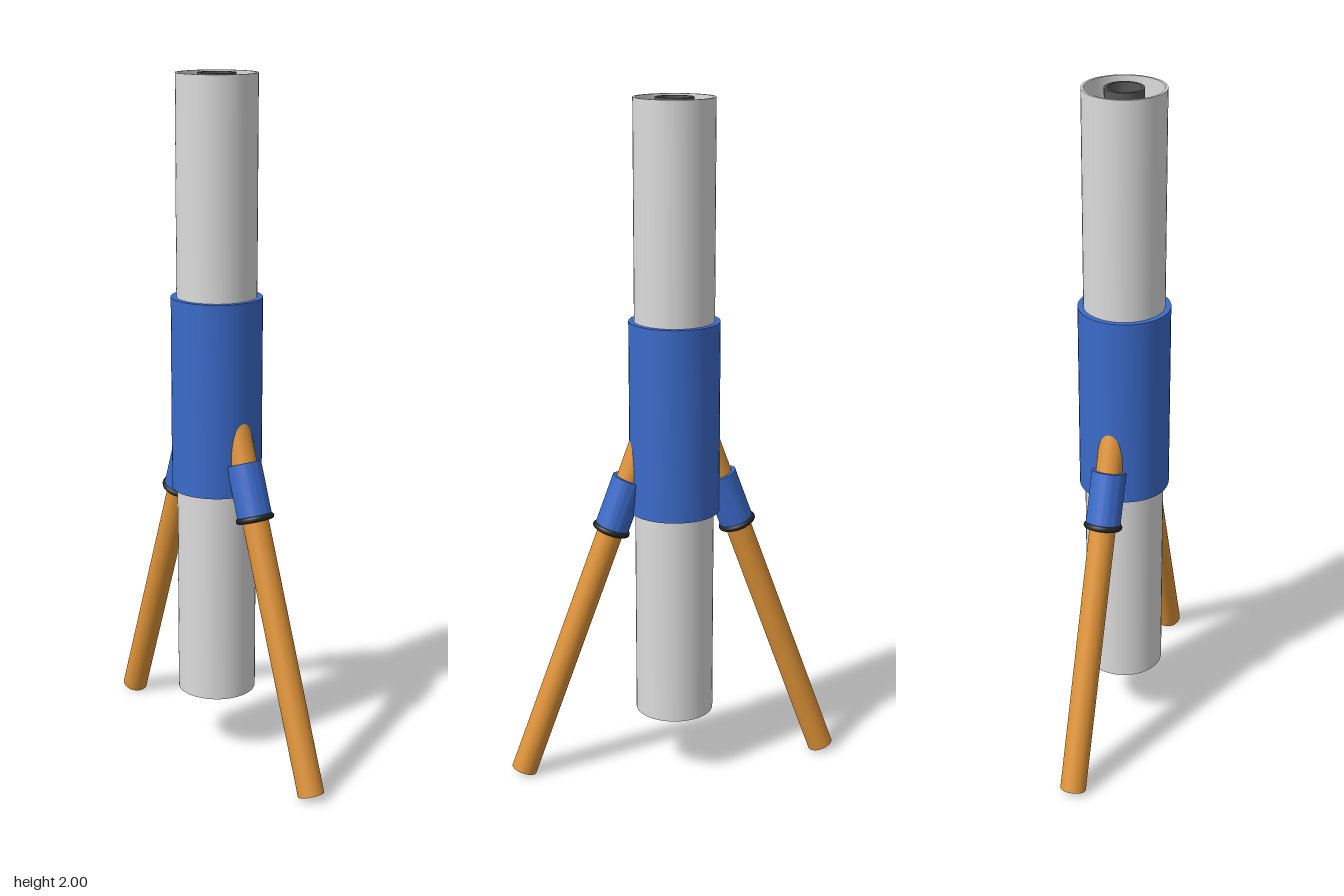
import * as THREE from 'three';
import { toCreasedNormals } from 'three/addons/utils/BufferGeometryUtils.js';

const mat = (name, color) => {
  const m = new THREE.MeshStandardMaterial({ color });
  m.name = name;
  return m;
};

// Hollow upright tube between heights y0 and y1, with crisp rims
function tube(outer, inner, y0, y1) {
  const profile = [[outer, y0], [outer, y1], [inner, y1], [inner, y0], [outer, y0]]
    .map(([r, y]) => new THREE.Vector2(r, y));
  return toCreasedNormals(new THREE.LatheGeometry(profile, 48), 0.7);
}

export function createModel() {
  const grey = mat('light grey', 0xdcdcdc);
  const blue = mat('blue', 0x3b6bcb);
  const orange = mat('orange', 0xe09438);
  const black = mat('black', 0x232525);
  const dark = mat('dark grey', 0x585858);

  const model = new THREE.Group();
  const add = (parent, name, geometry, material, y = 0) => {
    const mesh = new THREE.Mesh(geometry, material);
    mesh.name = name;
    mesh.position.y = y;
    parent.add(mesh);
    return mesh;
  };

  // Main column
  add(model, 'outerPipe', tube(0.115, 0.108, 0.185, 2), grey);
  add(model, 'mainSleeve', tube(0.131, 0.115, 0.815, 1.378), blue);

  // Thin pipe inside the column, with a spacer ring near each end
  add(model, 'innerPipe', tube(0.054, 0.046, 0.185, 2), dark);
  for (const y of [0.35, 1.83]) {
    add(model, 'spacerRing', new THREE.TorusGeometry(0.063, 0.011, 12, 40).rotateX(Math.PI / 2), black, y);
  }

  // Two slanted legs, each built upright from its foot and then tilted inward
  const tilt = THREE.MathUtils.degToRad(20);
  const legLength = 1.26;
  for (const side of [1, -1]) {
    const leg = new THREE.Group();
    leg.name = side > 0 ? 'leftLeg' : 'rightLeg';
    add(leg, 'legPole', new THREE.CylinderGeometry(0.038, 0.038, legLength, 32), orange, legLength / 2);
    add(leg, 'legSocket', tube(0.05, 0.038, 0.8, 0.96), blue);
    add(leg, 'socketRing', new THREE.TorusGeometry(0.047, 0.009, 12, 36).rotateX(Math.PI / 2), black, 0.8);
    leg.position.set(side * 0.461, 0.013, 0);
    leg.rotation.z = side * tilt;
    model.add(leg);
  }
  return model;
}
